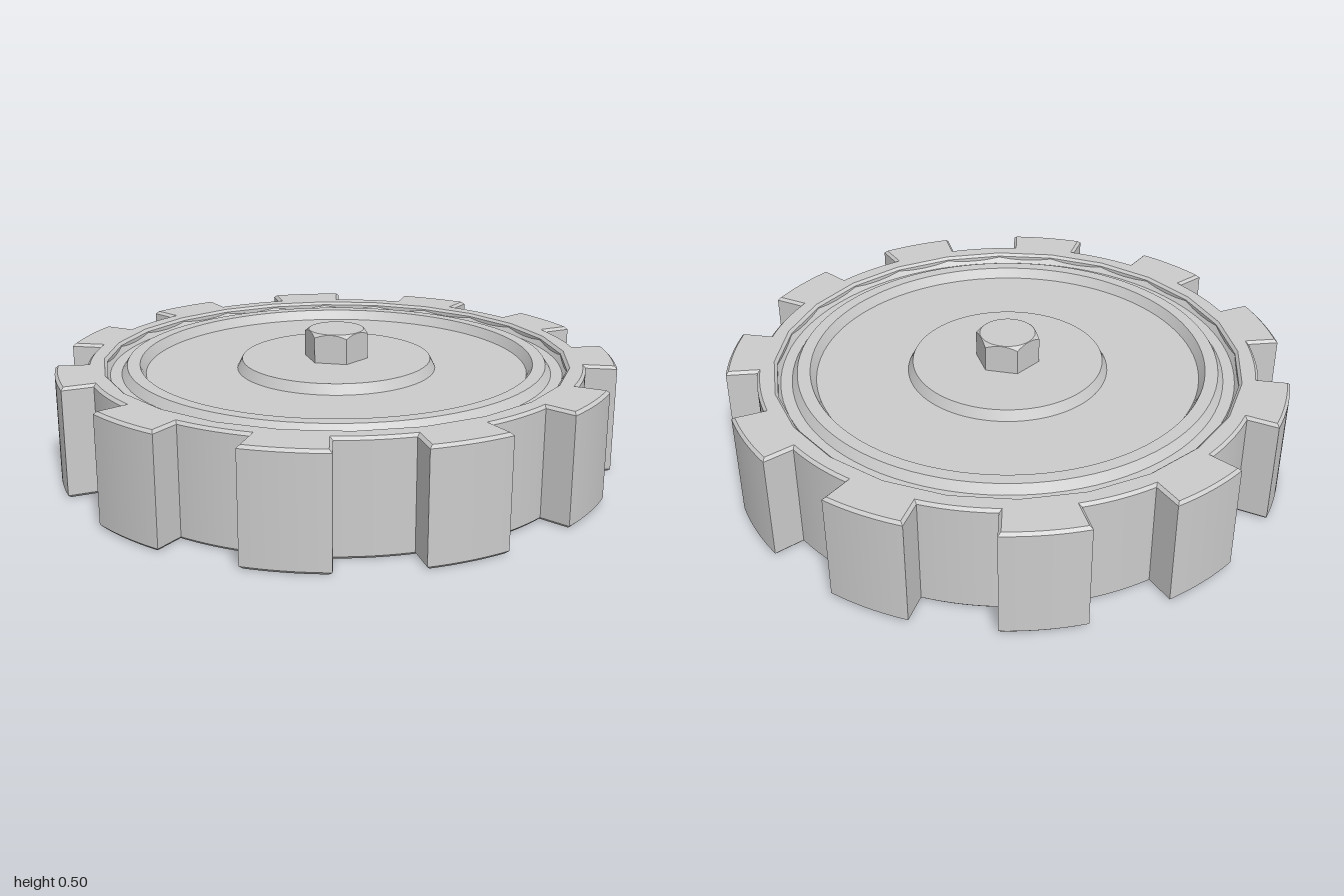
import * as THREE from 'three';
import { toCreasedNormals } from 'three/addons/utils/BufferGeometryUtils.js';

const TEETH = 11, TIP = 1, ROOT = 0.89, HOLE = 0.825, HEIGHT = 0.395, BEVEL = 0.01;

export function createModel() {
  const group = new THREE.Group();
  const material = new THREE.MeshStandardMaterial({ color: 0xcccccc });
  const add = (name, geometry) => {
    const mesh = new THREE.Mesh(geometry, material);
    mesh.name = name;
    group.add(mesh);
  };
  const lathe = (points) => toCreasedNormals(
    new THREE.LatheGeometry(points.map(([r, y]) => new THREE.Vector2(r, y)), 96), 0.4);

  // Toothed rim: radial-sided teeth with chamfered edges, one tooth on -x
  const outline = new THREE.Shape();
  const pitch = (2 * Math.PI) / TEETH, half = pitch / 4;
  for (let i = 0; i < TEETH; i++) {
    const a = Math.PI + i * pitch;
    outline.absarc(0, 0, TIP, a - half, a + half, false);
    outline.absarc(0, 0, ROOT, a + half, a + pitch - half, false);
  }
  outline.holes.push(new THREE.Path().absarc(0, 0, HOLE, 0, 2 * Math.PI, true));
  const rim = new THREE.ExtrudeGeometry(outline, {
    depth: HEIGHT - 2 * BEVEL, curveSegments: 96 / 8,
    bevelThickness: BEVEL, bevelSize: BEVEL, bevelOffset: -BEVEL, bevelSegments: 1,
  });
  rim.rotateX(-Math.PI / 2).translate(0, BEVEL, 0);
  add('toothedRim', toCreasedNormals(rim, 0.4));

  // Dished top: groove, raised ring, recessed floor and central boss
  add('dishedTop', lathe([
    [0.84, 0.375], [0.828, 0.385], [0.81, 0.36], [0.77, 0.36], [0.75, 0.39],
    [0.705, 0.39], [0.685, 0.355], [0.358, 0.355], [0.34, 0.39], [0, 0.39],
  ]));

  // Flat underside
  add('underside', lathe([[0, 0], [0.84, 0]]));

  // Hexagonal bolt head: prism whose corners are cut by a shallow cone
  const flat = 0.1, top = 0.495, n = 48, verts = [];
  const ring = (i) => {
    const a = (i / n) * 2 * Math.PI, c = Math.cos(a), s = Math.sin(a);
    const fromFlat = (a % (Math.PI / 3)) - Math.PI / 6;
    const r = flat / Math.cos(fromFlat);
    const r0 = flat * 0.985;
    return [
      [0, top, 0], [r0 * c, top, r0 * s],
      [r * c, top - (r - r0) * 0.8, r * s], [r * c, 0.38, r * s],
    ];
  };
  for (let i = 0; i < n; i++) {
    const p = ring(i), q = ring((i + 1) % n);
    verts.push(...p[0], ...q[1], ...p[1]);
    for (let k = 1; k < 3; k++) {
      verts.push(...p[k], ...q[k], ...q[k + 1], ...p[k], ...q[k + 1], ...p[k + 1]);
    }
  }
  const bolt = new THREE.BufferGeometry();
  bolt.setAttribute('position', new THREE.Float32BufferAttribute(verts, 3));
  add('boltHead', toCreasedNormals(bolt, 0.4));

  group.position.x = 0.005;
  return group;
}
